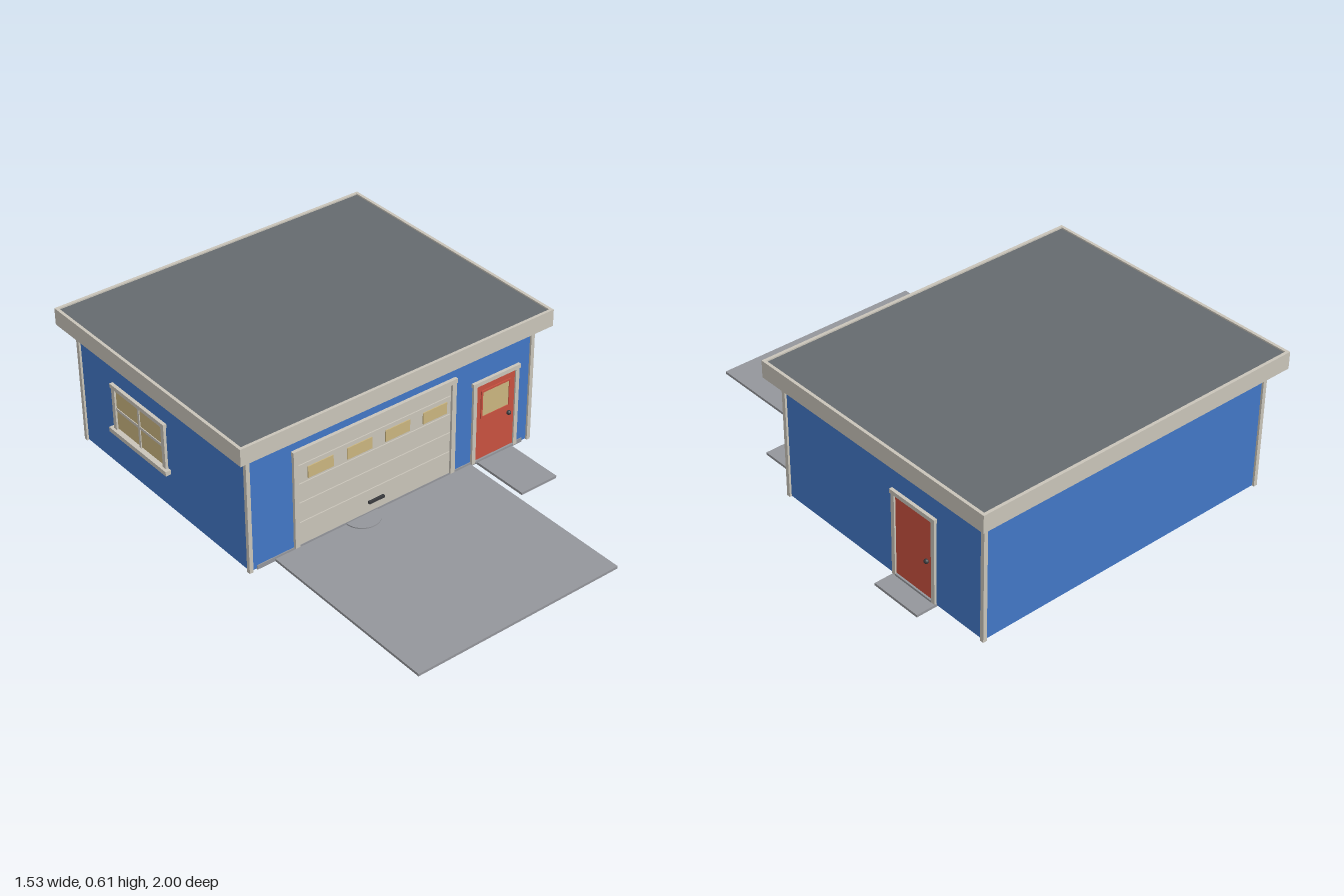
import * as THREE from 'three';

const mat = (name, color) => {
  const m = new THREE.MeshStandardMaterial({ color });
  m.name = name;
  return m;
};

export function createModel() {
  const blue = mat('blue siding', 0x4277c6);
  const trim = mat('warm grey trim', 0xc9c4b9);
  const red = mat('red door', 0xc8513f);
  const concrete = mat('concrete', 0x94969b);
  const roofing = mat('roofing', 0x656a6e);
  const glass = mat('tan glass', 0xcab57f);
  const dark = mat('dark metal', 0x3a3b3e);

  const model = new THREE.Group();
  model.name = 'garage';

  // Box given by its limits on each axis
  const box = (parent, name, m, x0, x1, y0, y1, z0, z1) => {
    const mesh = new THREE.Mesh(new THREE.BoxGeometry(x1 - x0, y1 - y0, z1 - z0), m);
    mesh.position.set((x0 + x1) / 2, (y0 + y1) / 2, (z0 + z1) / 2);
    mesh.name = name;
    parent.add(mesh);
    return mesh;
  };
  const group = (name, x, y, z, turn = 0) => {
    const g = new THREE.Group();
    g.name = name;
    g.position.set(x, y, z);
    g.rotation.y = turn;
    model.add(g);
    return g;
  };

  // Body, floor and paving
  const X0 = -0.705, X1 = 0.672, Z0 = -0.938, Z1 = 0.166;
  box(model, 'walls', blue, X0, X1, 0.005, 0.56, Z0, Z1);
  box(model, 'floorSlab', concrete, -0.675, 0.64, 0.001, 0.02, -0.905, 0.17);
  box(model, 'driveway', concrete, -0.592, 0.37, 0, 0.011, 0.15, 1);
  box(model, 'frontDoorPad', concrete, 0.4, 0.582, 0, 0.011, 0.15, 0.438);
  box(model, 'sideDoorPad', concrete, 0.64, 0.766, 0, 0.011, -0.69, -0.455);

  // Half-round plate in front of the garage door
  const plate = new THREE.Mesh(
    new THREE.CylinderGeometry(0.075, 0.075, 0.006, 24, 1, false, -Math.PI / 2, Math.PI), concrete);
  plate.name = 'doorPlate';
  plate.position.set(-0.18, 0.013, 0.171);
  model.add(plate);

  // Corner boards
  for (const [cx, sx] of [[X0, -1], [X1, 1]])
    for (const [cz, sz] of [[Z0, -1], [Z1, 1]]) {
      const x = cx + sx * 0.009, z = cz + sz * 0.009;
      const xi = cx - sx * 0.008, zi = cz - sz * 0.008;
      box(model, 'cornerBoard', trim, Math.min(x, xi), Math.max(x, xi), 0.003, 0.55,
        Math.min(z, zi), Math.max(z, zi));
    }

  // Flat roof deck inside a fascia
  const R = { x0: -0.768, x1: 0.73, z0: -0.998, z1: 0.222 }, t = 0.013;
  box(model, 'roofDeck', roofing, R.x0 + t, R.x1 - t, 0.55, 0.608, R.z0 + t, R.z1 - t);
  box(model, 'fasciaFront', trim, R.x0, R.x1, 0.54, 0.614, R.z1 - t, R.z1);
  box(model, 'fasciaBack', trim, R.x0, R.x1, 0.54, 0.614, R.z0, R.z0 + t);
  box(model, 'fasciaRight', trim, R.x0, R.x0 + t, 0.54, 0.614, R.z0 + t, R.z1 - t);
  box(model, 'fasciaLeft', trim, R.x1 - t, R.x1, 0.54, 0.614, R.z0 + t, R.z1 - t);

  // Garage door, centred on its own x = 0
  const gd = group('garageDoor', -0.112, 0, Z1);
  box(gd, 'doorPanel', trim, -0.37, 0.37, 0.02, 0.44, -0.01, 0.003);
  for (const s of [-1, 1])
    box(gd, 'doorJamb', trim, s * 0.3805 - 0.0105, s * 0.3805 + 0.0105, 0.02, 0.44, 0, 0.013);
  box(gd, 'doorHead', trim, -0.394, 0.394, 0.44, 0.46, 0, 0.015);
  for (const y of [0.12, 0.21, 0.297, 0.381])
    box(gd, 'panelRail', trim, -0.366, 0.366, y - 0.006, y + 0.006, 0, 0.008);
  for (let i = 0; i < 4; i++) {
    const x = -0.322 + i * 0.184;
    box(gd, 'doorWindow', glass, x, x + 0.119, 0.313, 0.364, 0, 0.007);
  }
  box(gd, 'pullHandle', dark, -0.037, 0.037, 0.061, 0.072, 0, 0.013);

  // Hinged door with casing; wall face is its own z = 0
  const hingedDoor = (name, x, z, turn, glazed) => {
    const g = group(name, x, 0, z, turn);
    box(g, 'doorLeaf', red, -0.101, 0.101, 0.02, 0.372, -0.01, 0.004);
    for (const s of [-1, 1])
      box(g, 'doorCasing', trim, s * 0.109 - 0.009, s * 0.109 + 0.009, 0.011, 0.374, 0, 0.011);
    box(g, 'doorHeader', trim, -0.122, 0.122, 0.374, 0.392, 0, 0.014);
    box(g, 'threshold', concrete, -0.1, 0.1, 0.009, 0.02, 0, 0.012);
    if (glazed) {
      box(g, 'doorGlass', glass, -0.068, 0.068, 0.22, 0.333, 0, 0.006);
      for (const s of [-1, 1])
        box(g, 'glassStile', red, s * 0.072 - 0.004, s * 0.072 + 0.004, 0.212, 0.341, 0, 0.009);
      for (const y of [0.216, 0.337])
        box(g, 'glassRail', red, -0.068, 0.068, y - 0.004, y + 0.004, 0, 0.009);
    }
    const knob = new THREE.Mesh(new THREE.SphereGeometry(0.01, 16, 10), dark);
    knob.name = 'knob';
    knob.position.set(0.072, 0.18, 0.008);
    g.add(knob);
  };
  hingedDoor('frontDoor', 0.488, Z1, 0, true);
  hingedDoor('sideDoor', X1, -0.57, Math.PI / 2, false);

  // Four-pane window on the right wall
  const w = group('sideWindow', X0, 0, -0.53, -Math.PI / 2);
  box(w, 'windowGlass', glass, -0.165, 0.165, 0.19, 0.375, -0.01, 0.004);
  for (const s of [-1, 1])
    box(w, 'windowJamb', trim, s * 0.168 - 0.01, s * 0.168 + 0.01, 0.184, 0.374, 0, 0.012);
  box(w, 'windowHead', trim, -0.183, 0.183, 0.374, 0.392, 0, 0.015);
  box(w, 'windowSill', trim, -0.195, 0.195, 0.166, 0.186, 0, 0.024);
  box(w, 'mullion', trim, -0.006, 0.006, 0.186, 0.374, 0, 0.008);
  box(w, 'crossBar', trim, -0.158, 0.158, 0.275, 0.287, 0, 0.0075);

  return model;
}
